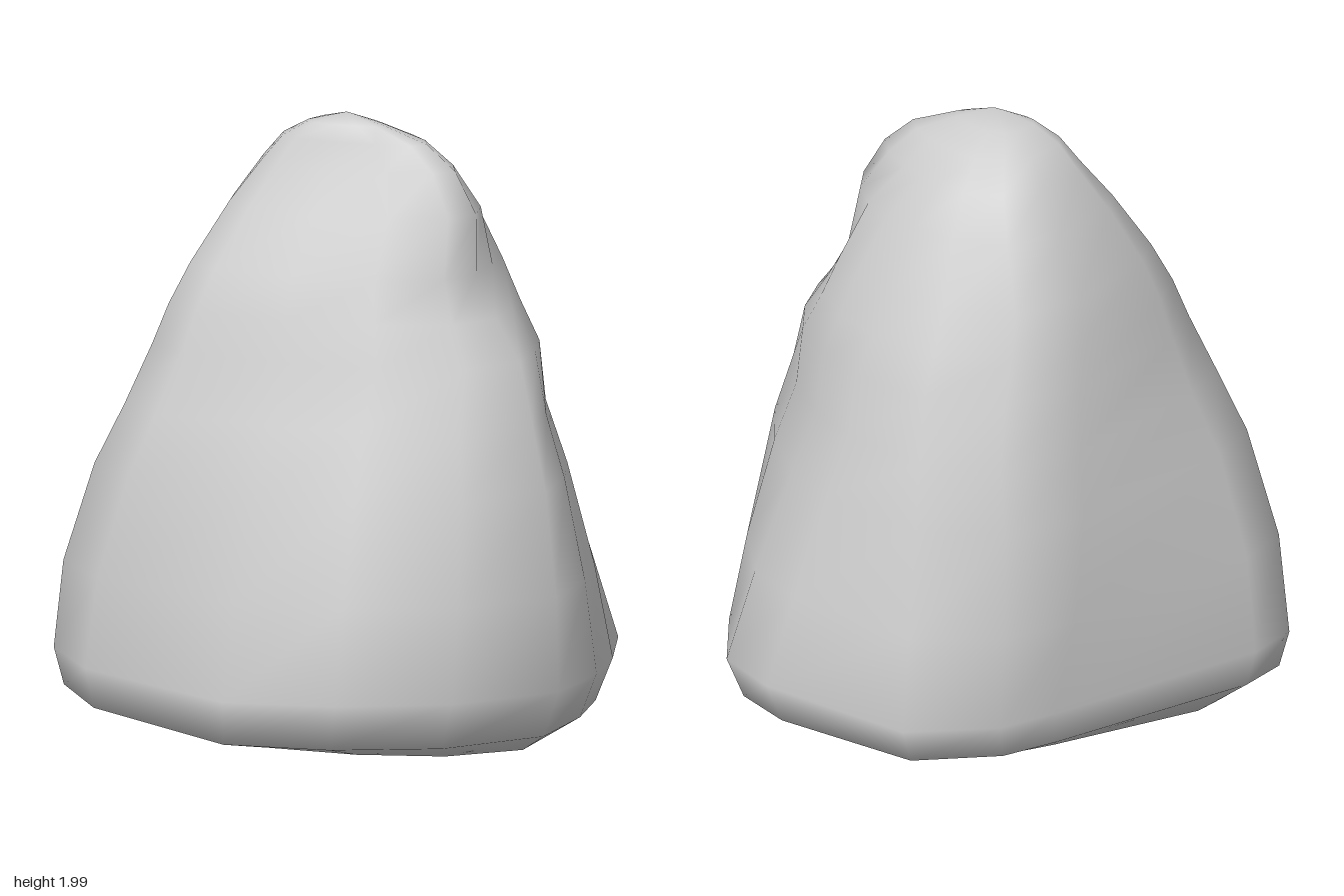
import * as THREE from 'three';

// Plan outlines (x, z) at key heights, clockwise seen from above, starting at the back
const OUTLINES = [
  { y: 0.25, points: [[-0.08, -0.81], [0.45, -0.7], [0.65, -0.58], [0.77, -0.32], [0.83, -0.1], [0.845, 0.18], [0.63, 0.49],
    [0.32, 0.69], [-0.02, 0.8], [-0.62, 0.59], [-0.85, 0.37], [-0.82, 0.19], [-0.45, -0.48], [-0.34, -0.65]] },
  { y: 1.1, points: [[-0.03, -0.58], [0.26, -0.49], [0.42, -0.39], [0.57, -0.23], [0.67, -0.05], [0.715, 0.12], [0.56, 0.31],
    [0.28, 0.43], [0, 0.5], [-0.4, 0.52], [-0.56, 0.43], [-0.57, 0.24], [-0.45, -0.29], [-0.28, -0.51]] },
  { y: 1.55, points: [[0, -0.36], [0.2, -0.33], [0.34, -0.27], [0.44, -0.18], [0.46, -0.08], [0.47, 0.04], [0.43, 0.16],
    [0.25, 0.26], [0, 0.32], [-0.25, 0.34], [-0.36, 0.29], [-0.39, 0.18], [-0.34, -0.13], [-0.21, -0.3]] },
  { y: 1.85, points: [[0, -0.2], [0.1, -0.18], [0.17, -0.15], [0.25, -0.11], [0.34, -0.04], [0.39, 0.04], [0.34, 0.1],
    [0.2, 0.15], [0.02, 0.19], [-0.15, 0.2], [-0.22, 0.17], [-0.25, 0.1], [-0.21, -0.08], [-0.12, -0.17]] },
];

// Extents of each level: y, xMin, xMax, zMin, zMax
const LEVELS = [
  [0.045, -0.7, 0.66, -0.55, 0.47],
  [0.12, -0.82, 0.79, -0.77, 0.78],
  [0.25, -0.85, 0.845, -0.81, 0.81],
  [0.55, -0.785, 0.83, -0.75, 0.725],
  [0.88, -0.665, 0.78, -0.655, 0.605],
  [1.08, -0.575, 0.72, -0.59, 0.53],
  [1.27, -0.515, 0.655, -0.515, 0.465],
  [1.4, -0.475, 0.56, -0.455, 0.43],
  [1.53, -0.425, 0.48, -0.39, 0.375],
  [1.72, -0.335, 0.475, -0.29, 0.275],
  [1.85, -0.25, 0.4, -0.2, 0.2],
  [1.93, -0.18, 0.31, -0.11, 0.17],
  [1.98, -0.09, 0.17, -0.01, 0.14],
];

// Rescale an outline to the unit square
function normalise(outline) {
  const box = new THREE.Box2().setFromPoints(outline.map(([x, z]) => new THREE.Vector2(x, z)));
  const size = box.getSize(new THREE.Vector2());
  return outline.map(([x, z]) => [(x - box.min.x) / size.x, (z - box.min.y) / size.y]);
}

// Unit outline at a height, blended between the nearest key outlines
function outlineAt(y) {
  const k = Math.max(0, OUTLINES.slice(0, -1).findLastIndex((o) => o.y <= y));
  const a = OUTLINES[k], b = OUTLINES[k + 1];
  const t = THREE.MathUtils.clamp((y - a.y) / (b.y - a.y), 0, 1);
  const pa = normalise(a.points), pb = normalise(b.points);
  return normalise(pa.map(([x, z], j) => [x + (pb[j][0] - x) * t, z + (pb[j][1] - z) * t]));
}

function rockGeometry() {
  const n = OUTLINES[0].points.length;
  const pos = [], index = [];

  // Rings from the broad foot to the narrow crown; the underside tilts
  LEVELS.forEach(([y, x0, x1, z0, z1]) => {
    const tilt = Math.max(0, 1 - y / 0.25);
    outlineAt(y).forEach(([u, v]) => {
      const x = THREE.MathUtils.lerp(x0, x1, u), z = THREE.MathUtils.lerp(z0, z1, v);
      pos.push(x, y - tilt * (0.04 * x + 0.035 * z), z);
    });
  });

  // Sides
  for (let i = 0; i < LEVELS.length - 1; i++) {
    for (let j = 0; j < n; j++) {
      const a = i * n + j, b = i * n + (j + 1) % n;
      index.push(a, a + n, b, b, a + n, b + n);
    }
  }

  // Underside and peak
  const foot = pos.length / 3, peak = foot + 1, last = (LEVELS.length - 1) * n;
  pos.push(0, 0.045, 0, 0.04, 2.015, 0.09);
  for (let j = 0; j < n; j++) {
    const k = (j + 1) % n;
    index.push(foot, j, k, peak, last + k, last + j);
  }

  const geometry = new THREE.BufferGeometry();
  geometry.setAttribute('position', new THREE.Float32BufferAttribute(pos, 3));
  geometry.setIndex(index);
  geometry.computeVertexNormals();
  // Stand exactly on the ground
  geometry.computeBoundingBox();
  geometry.translate(0, -geometry.boundingBox.min.y, 0);
  return geometry;
}

export function createModel() {
  const group = new THREE.Group();
  group.name = 'boulder';
  const rock = new THREE.Mesh(rockGeometry(), new THREE.MeshStandardMaterial({ color: 0xcccccc }));
  rock.name = 'rock';
  group.add(rock);
  return group;
}
